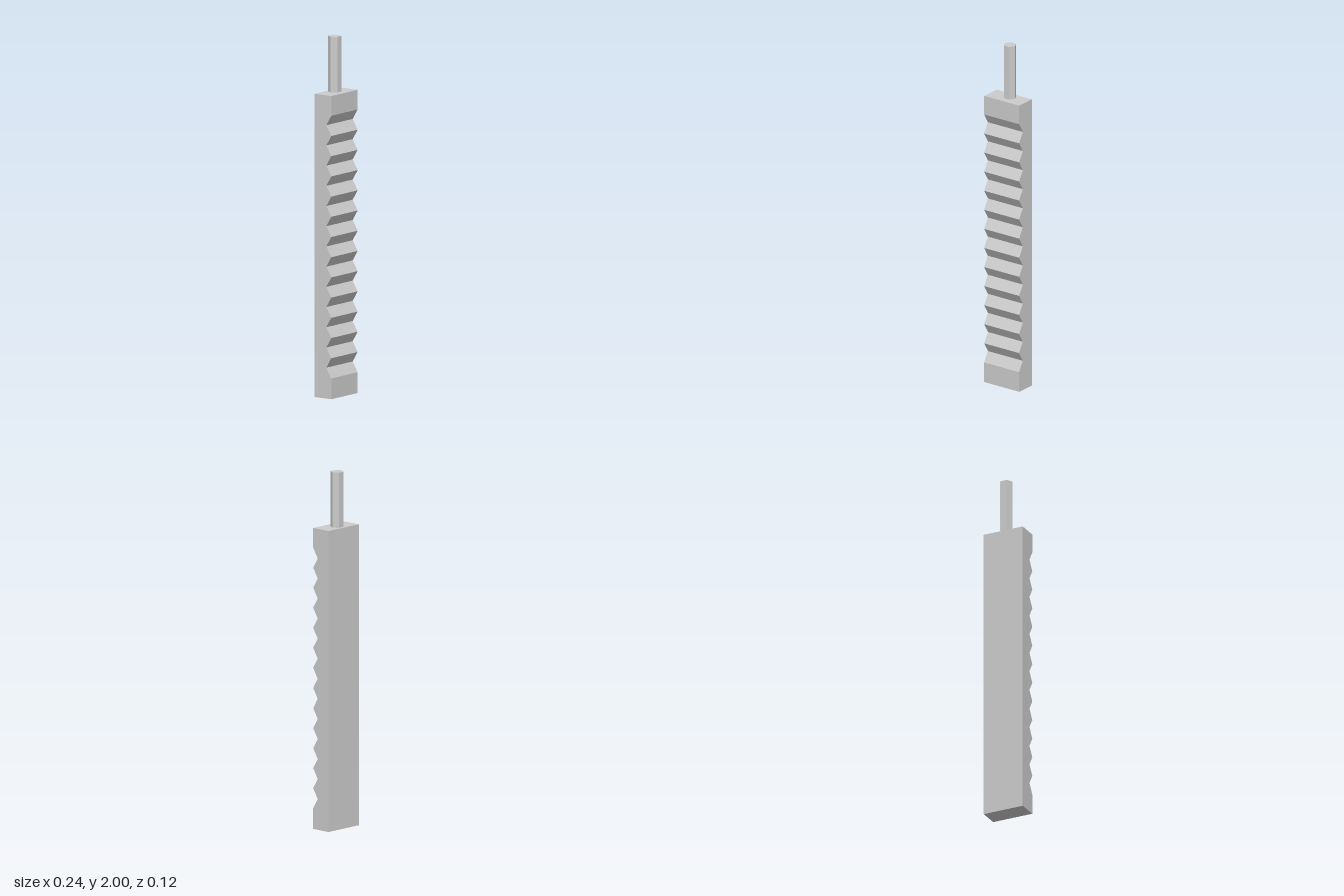
import * as THREE from 'three';

const WIDTH = 0.24, HEIGHT = 1.69, HALF_DEPTH = 0.058;
const GROOVES = 13, FIRST_PEAK = 0.116, LAST_PEAK = 1.58, GROOVE_Z = 0.024;

export function createModel() {
  const group = new THREE.Group();
  group.name = 'groovedBar';
  const material = new THREE.MeshStandardMaterial({ color: 0xcccccc, flatShading: true });

  // Bar: side profile (z, y) with a zigzag front edge, extruded across the width
  const profile = new THREE.Shape();
  profile.moveTo(-HALF_DEPTH, 0);
  profile.lineTo(HALF_DEPTH, 0);
  const pitch = (LAST_PEAK - FIRST_PEAK) / GROOVES;
  for (let i = 0; i < GROOVES; i++) {
    const y = FIRST_PEAK + i * pitch;
    profile.lineTo(HALF_DEPTH, y);
    profile.lineTo(GROOVE_Z, y + pitch / 2);
  }
  profile.lineTo(HALF_DEPTH, LAST_PEAK);
  profile.lineTo(HALF_DEPTH, HEIGHT);
  profile.lineTo(-HALF_DEPTH, HEIGHT);
  profile.closePath();
  const barGeometry = new THREE.ExtrudeGeometry(profile, { depth: WIDTH, bevelEnabled: false });
  barGeometry.translate(0, 0, -WIDTH / 2).rotateY(-Math.PI / 2);
  const bar = new THREE.Mesh(barGeometry, material);
  bar.name = 'toothedBar';
  group.add(bar);

  // Hexagonal pin on the top, corners pointing left and right
  const pinHeight = 2 - HEIGHT;
  const pinGeometry = new THREE.CylinderGeometry(0.0365, 0.0365, pinHeight, 6);
  pinGeometry.rotateY(Math.PI / 6);
  const pin = new THREE.Mesh(pinGeometry, material);
  pin.name = 'hexPin';
  pin.position.set(0.004, HEIGHT + pinHeight / 2, -0.012);
  group.add(pin);

  return group;
}
